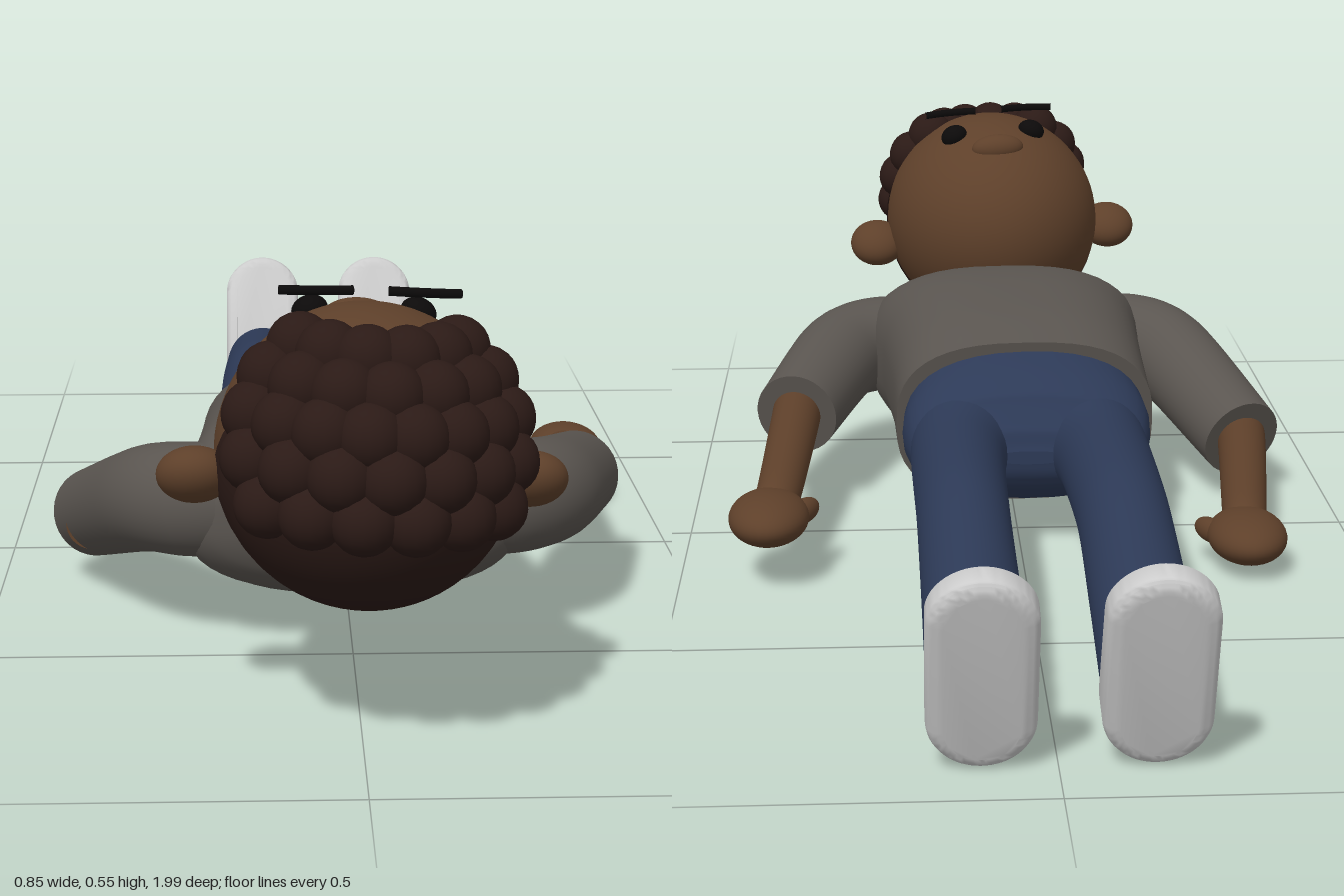
import * as THREE from 'three';
import { toCreasedNormals } from 'three/addons/utils/BufferGeometryUtils.js';

const mat = (color) => new THREE.MeshStandardMaterial({ color, roughness: 0.9 });

function add(parent, name, geometry, material, pos = [0, 0, 0], scale = [1, 1, 1], rot = [0, 0, 0]) {
  const mesh = new THREE.Mesh(geometry, material);
  mesh.name = name;
  mesh.position.set(...pos);
  mesh.scale.set(...scale);
  mesh.rotation.set(...rot);
  parent.add(mesh);
  return mesh;
}

// Smooth body through sections [x, y, z, radiusAcross, radiusUp]; power < 1 squares the section
function loft(sections, power = 1, steps = 32, sides = 36) {
  const path = new THREE.CatmullRomCurve3(sections.map((s) => new THREE.Vector3(s[0], s[1], s[2])), false, 'catmullrom', 0.4);
  const radii = new THREE.CatmullRomCurve3(sections.map((s) => new THREE.Vector3(s[3], s[4], 0)), false, 'catmullrom', 0.4);
  const up = new THREE.Vector3(0, 1, 0);
  const bend = (v) => Math.sign(v) * Math.abs(v) ** power;
  const pos = [], index = [], rings = [];
  for (let i = 0; i <= steps; i++) {
    const u = i / steps, p = path.getPoint(u), r = radii.getPoint(u), t = path.getTangent(u);
    const n = up.clone().cross(t).normalize(), b = t.clone().cross(n);
    const ring = [];
    for (let j = 0; j < sides; j++) {
      const a = (j / sides) * Math.PI * 2;
      ring.push(p.clone().addScaledVector(n, r.x * bend(Math.cos(a))).addScaledVector(b, r.y * bend(Math.sin(a))));
    }
    rings.push({ p, ring });
    ring.forEach((v) => pos.push(v.x, v.y, v.z));
  }
  for (let i = 0; i < steps; i++) for (let j = 0; j < sides; j++) {
    const k = (j + 1) % sides, a = i * sides + j, b = i * sides + k;
    index.push(a, b, a + sides, b, b + sides, a + sides);
  }
  // flat ends with their own vertices
  for (const end of [0, steps]) {
    const c = pos.length / 3, { p, ring } = rings[end];
    pos.push(p.x, p.y, p.z);
    ring.forEach((v) => pos.push(v.x, v.y, v.z));
    for (let j = 0; j < sides; j++) {
      const a = c + 1 + j, b = c + 1 + ((j + 1) % sides);
      if (end) index.push(c, a, b); else index.push(c, b, a);
    }
  }
  const g = new THREE.BufferGeometry();
  g.setAttribute('position', new THREE.Float32BufferAttribute(pos, 3));
  g.setIndex(index);
  g.computeVertexNormals();
  return g;
}

// Rounded shoe: stadium sole, thinning toward the toe
function shoeGeometry() {
  const r = 0.047, len = 0.28, bevel = 0.02;
  const s = new THREE.Shape();
  s.absarc(0, r + bevel, r, Math.PI, Math.PI * 2, false);
  s.absarc(0, len - r - bevel, r, 0, Math.PI, false);
  s.closePath();
  const g = new THREE.ExtrudeGeometry(s, { depth: 0.05, bevelEnabled: true, bevelSize: bevel, bevelThickness: bevel, bevelSegments: 5, curveSegments: 16 });
  g.translate(0, 0, bevel);
  const p = g.attributes.position;
  for (let i = 0; i < p.count; i++) {
    p.setZ(i, p.getZ(i) * (1 - 0.5 * THREE.MathUtils.smoothstep(p.getY(i), 0.08, len)));
  }
  return toCreasedNormals(g, 0.8);
}

export function createModel() {
  const model = new THREE.Group();
  model.name = 'lyingPerson';
  const skin = mat(0x5e402a), shirt = mat(0x5a5550), denim = mat(0x2d3a57);
  const hair = mat(0x2b1a16), black = mat(0x0c0a0a), shoeMat = mat(0xcccccc);
  const ball = new THREE.SphereGeometry(1, 32, 24);

  // Torso and neck
  add(model, 'shirt', loft([
    [-0.013, 0.17, 0.025, 0.197, 0.13], [-0.01, 0.185, 0.14, 0.2, 0.14], [-0.005, 0.195, 0.28, 0.21, 0.146],
    [0, 0.195, 0.38, 0.225, 0.142], [0, 0.19, 0.45, 0.228, 0.112], [0, 0.19, 0.49, 0.19, 0.07], [0, 0.19, 0.508, 0.1, 0.02],
  ], 0.75, 48, 48), shirt);
  add(model, 'neck', loft([[-0.018, 0.2, 0.45, 0.05, 0.05], [-0.016, 0.225, 0.53, 0.048, 0.046], [0, 0.28, 0.63, 0.05, 0.05]]), skin);

  // Trousers
  add(model, 'hips', loft([
    [-0.013, 0.175, 0.04, 0.182, 0.115], [-0.013, 0.166, -0.02, 0.188, 0.104],
    [-0.013, 0.157, -0.075, 0.178, 0.082], [-0.013, 0.155, -0.11, 0.14, 0.04], [-0.013, 0.155, -0.12, 0.05, 0.01],
  ], 0.85), denim);
  const shoe = shoeGeometry();
  for (const [side, label] of [[-1, 'right'], [1, 'left']]) {
    const x = (d) => -0.013 + side * d;
    add(model, label + 'Leg', loft([
      [x(0.09), 0.16, 0.01, 0.085, 0.08], [x(0.107), 0.157, -0.14, 0.07, 0.073], [x(0.109), 0.16, -0.42, 0.064, 0.07],
      [x(0.107), 0.13, -0.65, 0.064, 0.067], [x(0.105), 0.095, -0.87, 0.065, 0.067],
    ]), denim);
    add(model, label + 'Shoe', shoe, shoeMat, [x(0.105), 0.002, -0.91], [1, 1, 1], [-0.322, 0, 0]);
  }

  // Arms, each relaxed a little differently
  const arms = [
    { label: 'right', s: -1, elbow: [-0.365, 0.105, 0.14], wrist: [-0.332, 0.07, -0.13], hand: [-0.326, 0.057, -0.205], shoulderY: 0.185 },
    { label: 'left', s: 1, elbow: [0.34, 0.155, 0.14], wrist: [0.358, 0.115, -0.14], hand: [0.37, 0.102, -0.22], shoulderY: 0.192 },
  ];
  for (const { label, s, elbow, wrist, hand, shoulderY } of arms) {
    add(model, label + 'Sleeve', loft([
      [s * 0.12, 0.2, 0.42, 0.07, 0.075], [s * 0.215, 0.2, 0.41, 0.078, 0.078],
      [s * 0.275, shoulderY, 0.35, 0.074, 0.074], [...elbow, 0.065, 0.065],
    ]), shirt);
    const inner = [elbow[0], elbow[1] + 0.005, elbow[2] + 0.08];
    add(model, label + 'Forearm', loft([[...inner, 0.038, 0.038], [...elbow, 0.038, 0.038], [...wrist, 0.033, 0.033], [hand[0], hand[1], hand[2] + 0.03, 0.03, 0.028]]), skin);
    add(model, label + 'Hand', ball, skin, hand, [0.058, 0.037, 0.084]);
    add(model, label + 'Thumb', ball, skin, [hand[0] - s * 0.05, hand[1], hand[2] + 0.028], [0.016, 0.018, 0.036], [0, -s * 0.45, 0]);
  }

  // Head: face up, crown toward +z, slightly turned
  const head = new THREE.Group();
  head.name = 'head';
  head.position.set(0.006, 0.35, 0.74);
  head.rotation.set(0, 0.1, -0.05);
  model.add(head);
  const R = [0.185, 0.185, 0.225];
  add(head, 'face', new THREE.SphereGeometry(1, 48, 36), skin, [0, 0, 0], R);
  const cap = new THREE.SphereGeometry(1.012, 48, 28, 0, Math.PI * 2, 0, 1.495).rotateX(2.125);
  add(head, 'hairCap', cap, hair, [0, 0, 0], R).material.side = THREE.DoubleSide;
  add(head, 'nose', ball, skin, [0, 0.145, -0.125], [0.045, 0.024, 0.025]);
  for (const s of [-1, 1]) {
    const label = s < 0 ? 'right' : 'left';
    add(head, label + 'Ear', ball, skin, [s * 0.208, -0.03, -0.003], [0.047, 0.034, 0.048], [-0.5, 0, 0]);
    add(head, label + 'Eye', ball, black, [s * 0.068, 0.163, -0.072], [0.023, 0.018, 0.023], [0, 0, -s * 0.35]);
    const arc = new THREE.QuadraticBezierCurve3(
      new THREE.Vector3(s * 0.022, 0.197, -0.028), new THREE.Vector3(s * 0.07, 0.197, -0.018), new THREE.Vector3(s * 0.112, 0.195, -0.03));
    add(head, label + 'Eyebrow', new THREE.TubeGeometry(arc, 16, 0.006, 8), black);
  }

  // Curls packed in staggered rows over the crown
  const curls = new THREE.Group();
  curls.name = 'curls';
  head.add(curls);
  const curlBall = new THREE.SphereGeometry(0.041, 18, 14);
  [-8, 7.5, 23, 38.5, 54].forEach((deg, row) => {
    const e = THREE.MathUtils.degToRad(deg);
    const count = [6, 7, 8, 7, 6][row], spread = [0.85, 1.0, 1.1, 1.15, 1.1][row];
    for (let i = 0; i < count; i++) {
      const a = spread * ((2 * i) / (count - 1) - 1);
      add(curls, 'curl', curlBall, hair, [
        R[0] * 0.97 * Math.cos(e) * Math.sin(a), R[1] * 0.97 * Math.sin(e), R[2] * 0.96 * Math.cos(e) * Math.cos(a),
      ]);
    }
  });
  return model;
}
